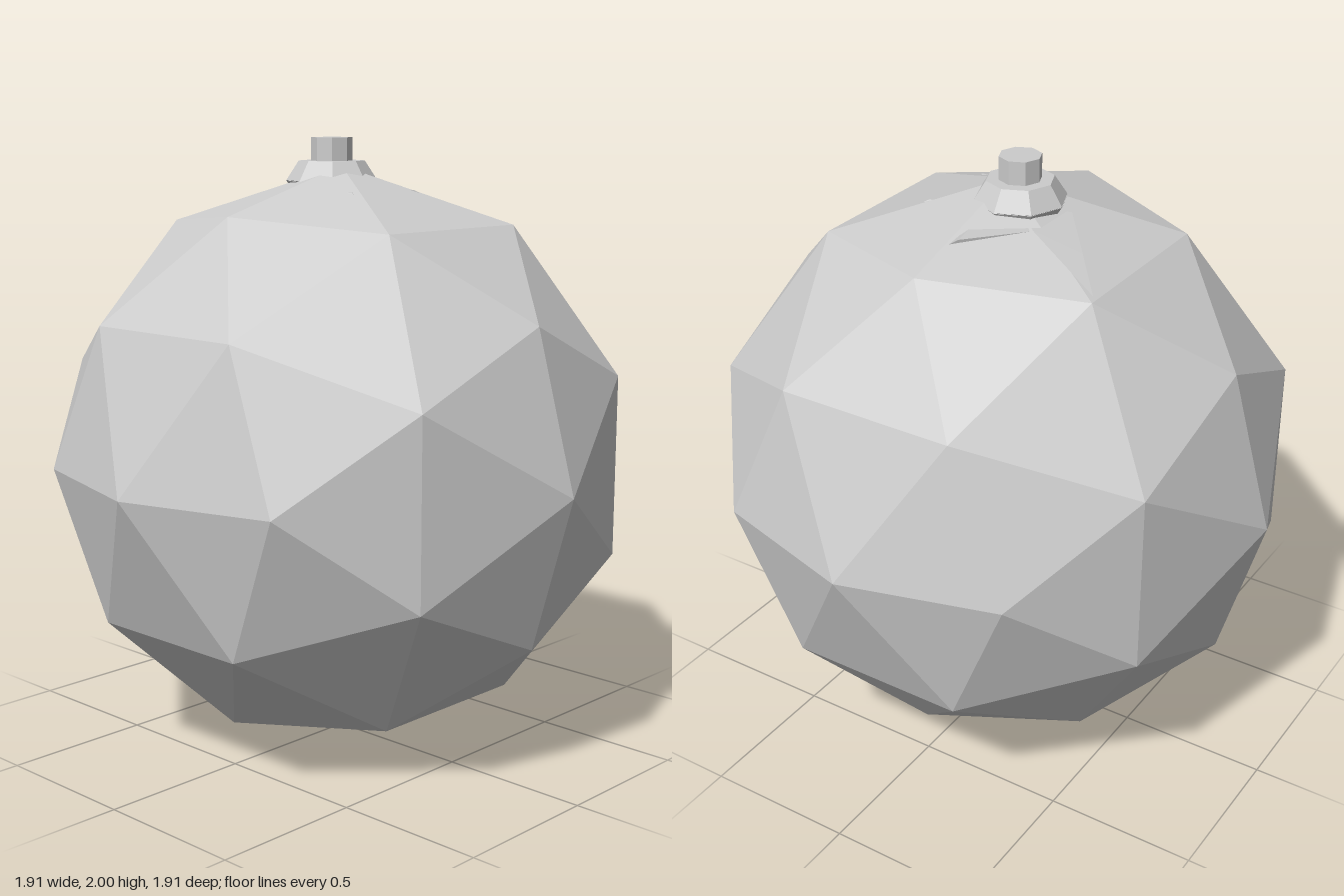
import * as THREE from 'three';

export function createModel() {
  const group = new THREE.Group();
  group.name = 'bauble';
  const grey = new THREE.MeshStandardMaterial({ color: 0xcccccc, flatShading: true });
  grey.name = 'light grey';
  const thinGrey = new THREE.MeshStandardMaterial({ color: 0xcccccc, flatShading: true, side: THREE.DoubleSide });
  thinGrey.name = 'light grey thin';

  const add = (name, geometry, material, x, y, z) => {
    const mesh = new THREE.Mesh(geometry, material);
    mesh.name = name;
    mesh.position.set(x, y, z);
    group.add(mesh);
    return mesh;
  };

  // Faceted ball
  add('ball', new THREE.IcosahedronGeometry(0.955, 1), grey, 0, 0.955, 0);

  // Flared eight-sided collar and stem, set slightly behind the centre
  const cx = 0.012, cz = -0.055;
  const collar = new THREE.CylinderGeometry(0.108, 0.15, 0.065, 8);
  add('collar', collar, grey, cx, 1.8925, cz);
  add('collarBase', new THREE.CylinderGeometry(0.15, 0.13, 0.03, 8), grey, cx, 1.847, cz);
  add('stem', new THREE.CylinderGeometry(0.068, 0.068, 0.08, 8), grey, cx, 1.96, cz);

  // Flat pointed leaves under the collar: left side, right side, shoulder, drooping tip
  const y = 1.834;
  const leaves = [
    [[-0.03, y, -0.215], [0.155, y, -0.19], [0.22, y, -0.4], [0.28, 1.742, -0.472]],
    [[0.165, y, -0.185], [0.14, y, 0.0], [0.33, y, -0.04], [0.35, 1.822, -0.02]],
    [[0.14, y, 0.05], [0.05, y, 0.1], [0.12, y, 0.21], [0.13, 1.825, 0.225]],
    [[-0.05, y, 0.1], [-0.14, y, 0.05], [-0.15, y, 0.19], [-0.155, 1.83, 0.2]],
  ];
  leaves.forEach(([a, b, c, tip]) => {
    const root = [cx, y, cz];
    const faces = [root, b, a, a, b, c, a, c, tip, c, b, tip];
    const geometry = new THREE.BufferGeometry();
    geometry.setAttribute('position', new THREE.Float32BufferAttribute(faces.flat(), 3));
    geometry.computeVertexNormals();
    add('leaf', geometry, thinGrey, 0, 0, 0);
  });

  return group;
}
